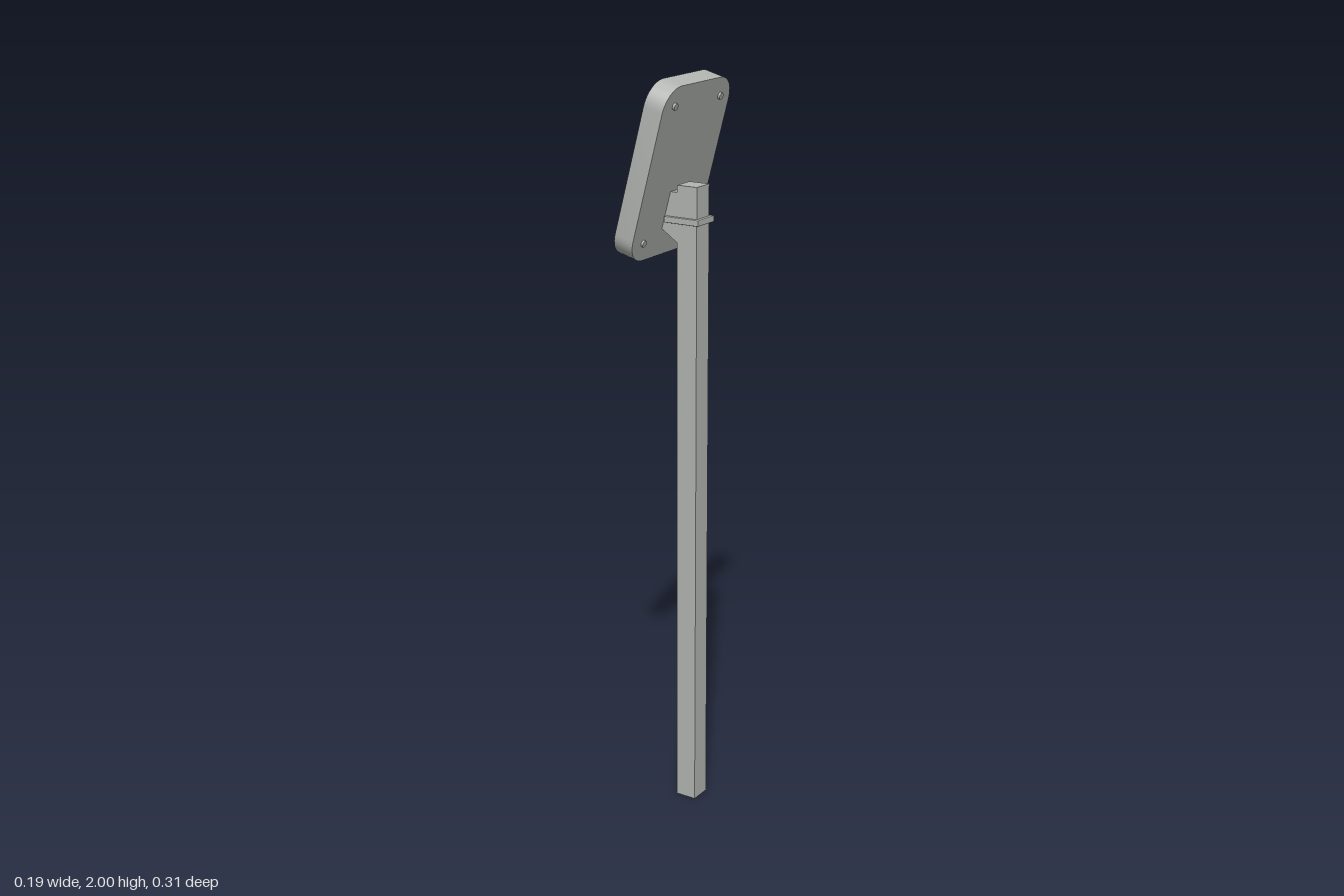
import * as THREE from 'three';
import { toCreasedNormals } from 'three/addons/utils/BufferGeometryUtils.js';

// Outline of a rounded rectangle as a counter-clockwise list of points
function roundedLoop(halfW, halfH, r, z, steps = 10) {
  const points = [];
  [[1, 1], [-1, 1], [-1, -1], [1, -1]].forEach(([sx, sy], corner) => {
    for (let i = 0; i <= steps; i++) {
      const a = (corner + i / steps) * Math.PI / 2;
      points.push([sx * (halfW - r) + r * Math.cos(a), sy * (halfH - r) + r * Math.sin(a), z]);
    }
  });
  return points;
}

// Closed skin through successive loops, capped at both ends
function loft(loops) {
  const pos = [];
  const tri = (a, b, c) => pos.push(...a, ...b, ...c);
  const n = loops[0].length;
  const first = loops[0], last = loops[loops.length - 1];
  for (let i = 0; i < n; i++) {
    const j = (i + 1) % n;
    for (let k = 0; k < loops.length - 1; k++) {
      const a = loops[k], b = loops[k + 1];
      tri(a[i], a[j], b[j]);
      tri(a[i], b[j], b[i]);
    }
    tri([0, 0, first[0][2]], first[j], first[i]);
    tri([0, 0, last[0][2]], last[i], last[j]);
  }
  const geo = new THREE.BufferGeometry();
  geo.setAttribute('position', new THREE.Float32BufferAttribute(pos, 3));
  return toCreasedNormals(geo, 0.4);
}

export function createModel() {
  const metal = new THREE.MeshStandardMaterial({ color: 0xb2b5b1 });
  metal.name = 'grey metal';
  const dark = new THREE.MeshStandardMaterial({ color: 0x2c2d32 });
  dark.name = 'dark glass';

  const model = new THREE.Group();
  const add = (parent, name, geo, mat, x = 0, y = 0, z = 0) => {
    const mesh = new THREE.Mesh(geo, mat);
    mesh.name = name;
    mesh.position.set(x, y, z);
    parent.add(mesh);
    return mesh;
  };

  // Square post
  add(model, 'post', new THREE.BoxGeometry(0.059, 1.725, 0.059), metal, 0.055, 0.8625, 0);

  // Tilted head: local z points out of its face, local y up along it
  const head = new THREE.Group();
  head.name = 'head';
  head.position.set(-0.035, 1.774, 0);
  head.rotation.set(0, -Math.PI / 2, -Math.PI / 12, 'ZYX');
  model.add(head);

  // Tray-shaped housing with a raised rim and a sloped recess
  add(head, 'housing', loft([
    roundedLoop(0.156, 0.234, 0.065, -0.056),
    roundedLoop(0.156, 0.234, 0.065, 0),
    roundedLoop(0.128, 0.206, 0.042, 0),
    roundedLoop(0.118, 0.196, 0.034, -0.008),
    roundedLoop(0.107, 0.185, 0.025, -0.012),
  ]), metal);

  // Screen on its backing plate, and the raised pad below it
  add(head, 'screenBase', new THREE.BoxGeometry(0.209, 0.13, 0.005), metal, 0, 0.088, -0.0105);
  add(head, 'screen', new THREE.BoxGeometry(0.207, 0.126, 0.003), dark, 0, 0.088, -0.0075);
  add(head, 'pad', loft([
    roundedLoop(0.065, 0.058, 0.003, -0.013, 3),
    roundedLoop(0.065, 0.058, 0.003, -0.004, 3),
    roundedLoop(0.063, 0.056, 0.002, -0.002, 3),
  ]), metal, 0, -0.083, 0);

  // Screws in the corners of the back
  for (const sx of [-1, 1]) {
    for (const sy of [-1, 1]) {
      const screw = add(head, 'screw', new THREE.CylinderGeometry(0.009, 0.009, 0.008, 20), metal,
        sx * 0.106, sy * 0.183, -0.058);
      screw.rotation.x = Math.PI / 2;
    }
  }

  // Wedge bracket between the housing and the post
  const wedge = new THREE.Shape([
    [0.026, 1.575], [0.026, 1.706], [0.0, 1.706], [-0.026, 1.61],
  ].map(([x, y]) => new THREE.Vector2(x, y)));
  add(model, 'bracket', new THREE.ExtrudeGeometry(wedge, { depth: 0.056, bevelEnabled: false }),
    metal, 0, 0, -0.028);

  // Clamp band around the post
  const rect = (C, x0, x1, h) => new C([
    [x0, -h], [x1, -h], [x1, h], [x0, h],
  ].map(([x, y]) => new THREE.Vector2(x, y)));
  const band = rect(THREE.Shape, -0.006, 0.092, 0.037);
  band.holes.push(rect(THREE.Path, 0.004, 0.0845, 0.0295));
  const clamp = add(model, 'clamp', new THREE.ExtrudeGeometry(band, {
    depth: 0.012, bevelSize: 0.002, bevelThickness: 0.002, bevelSegments: 2,
  }), metal, 0, 1.629, 0);
  clamp.rotation.x = -Math.PI / 2;

  return model;
}
